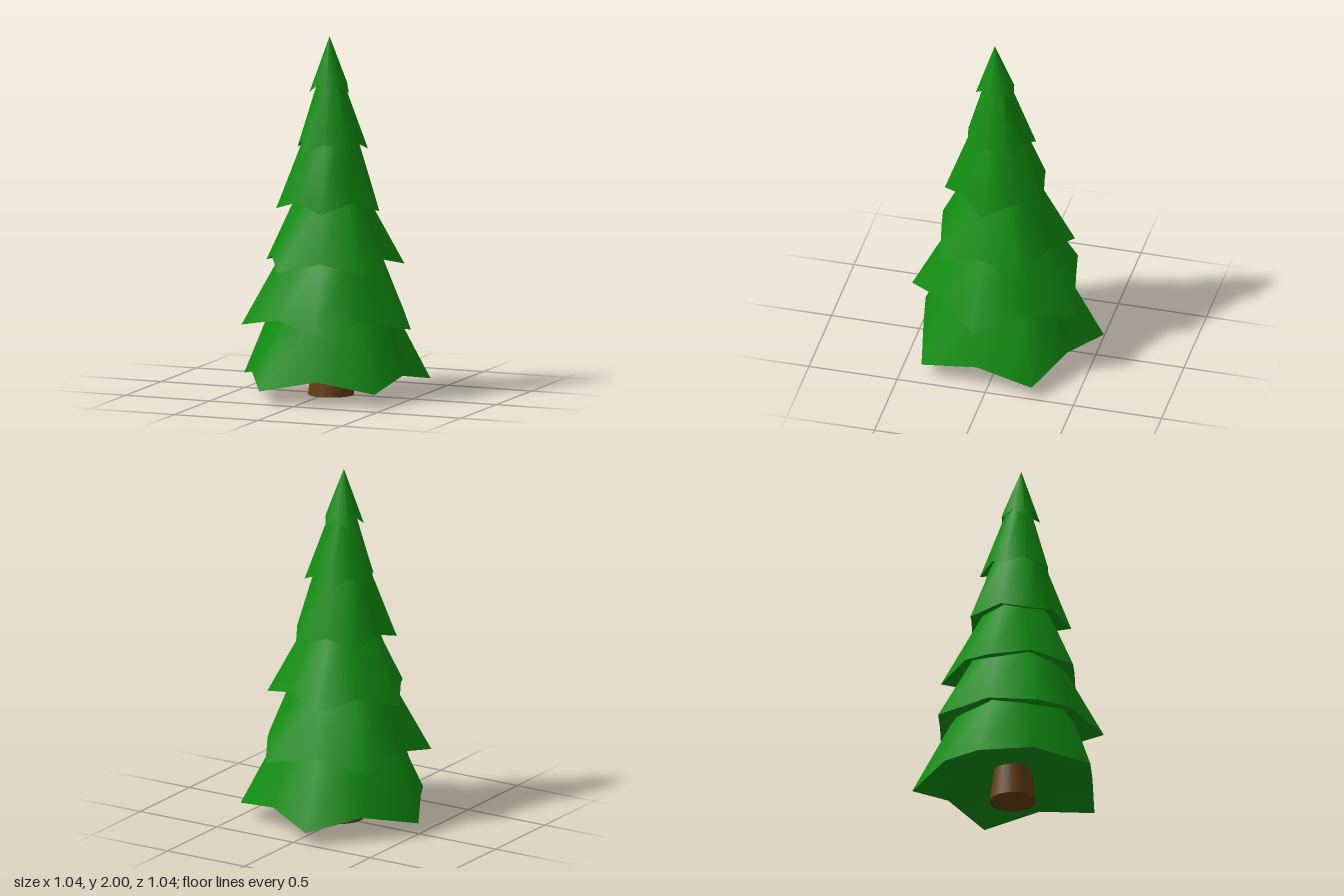
import * as THREE from 'three';

const SIDES = 10; // five drooping tips alternating with five raised edge midpoints
const START = THREE.MathUtils.degToRad(-30.3);

// Each tier: rim centre x/z, tip height, tip radius, then top height and top radius
const TIERS = [
  { x: 0.024, z: 0.014, y: 0.075, r: 0.548, topY: 0.5, topR: 0.33 },
  { x: 0.025, z: 0.022, y: 0.398, r: 0.498, topY: 0.82, topR: 0.26 },
  { x: 0.028, z: 0.03, y: 0.72, r: 0.406, topY: 1.14, topR: 0.18 },
  { x: 0.029, z: 0.037, y: 1.045, r: 0.303, topY: 1.46, topR: 0.14 },
  { x: 0.031, z: 0.045, y: 1.367, r: 0.207, topY: 1.78, topR: 0.06 },
  { x: 0.032, z: 0.053, y: 1.69, r: 0.116, topY: 2.0, topR: 0 },
];
const APEX = { x: 0.033, z: 0.065 };

function indexedGeometry(positions, index) {
  const geometry = new THREE.BufferGeometry();
  geometry.setAttribute('position', new THREE.Float32BufferAttribute(positions, 3));
  geometry.setIndex(index);
  geometry.computeVertexNormals();
  return geometry;
}

function makeTier(tier, next, turn, material) {
  const rim = [], top = [], sideIndex = [], capIndex = [];
  const lift = 0.045 + 0.015 * tier.r / 0.55;
  for (let i = 0; i < SIDES; i++) {
    const a = START + turn + (i * Math.PI * 2) / SIDES;
    const raised = i % 2 === 1;
    const r = raised ? tier.r * Math.cos(Math.PI / 5) : tier.r;
    rim.push(tier.x + r * Math.cos(a), tier.y + (raised ? lift : 0), tier.z + r * Math.sin(a));
    top.push(next.x + tier.topR * Math.cos(a), tier.topY, next.z + tier.topR * Math.sin(a));
    const j = (i + 1) % SIDES;
    sideIndex.push(i, i + SIDES, j);
    if (tier.topR > 0) sideIndex.push(i + SIDES, j + SIDES, j);
    capIndex.push(SIDES, i, j);
  }
  const group = new THREE.Group();

  // Smooth sloping skirt
  const skirt = new THREE.Mesh(indexedGeometry([...rim, ...top], sideIndex), material);
  skirt.name = 'foliageSkirt';

  // Shallow hollow underside with its own hard rim
  const underside = new THREE.Mesh(
    indexedGeometry([...rim, tier.x, tier.y + lift * 2.2, tier.z], capIndex), material);
  underside.name = 'foliageUnderside';

  group.add(skirt, underside);
  return group;
}

export function createModel() {
  const model = new THREE.Group();
  model.name = 'pineTree';

  const leafGreen = new THREE.MeshStandardMaterial({ color: 0x118e11 });
  leafGreen.name = 'leafGreen';
  const barkBrown = new THREE.MeshStandardMaterial({ color: 0x643c12 });
  barkBrown.name = 'barkBrown';

  // Tapered trunk
  const trunk = new THREE.Mesh(new THREE.CylinderGeometry(0.088, 0.128, 0.3, 24), barkBrown);
  trunk.name = 'trunk';
  trunk.position.set(0.023, 0.15, 0.02);
  model.add(trunk);

  // Stacked tiers, every other one turned by half a side
  TIERS.forEach((tier, i) => {
    const group = makeTier(tier, TIERS[i + 1] || APEX, (i % 2) * Math.PI / 5, leafGreen);
    group.name = `foliageTier${i + 1}`;
    model.add(group);
  });

  return model;
}
